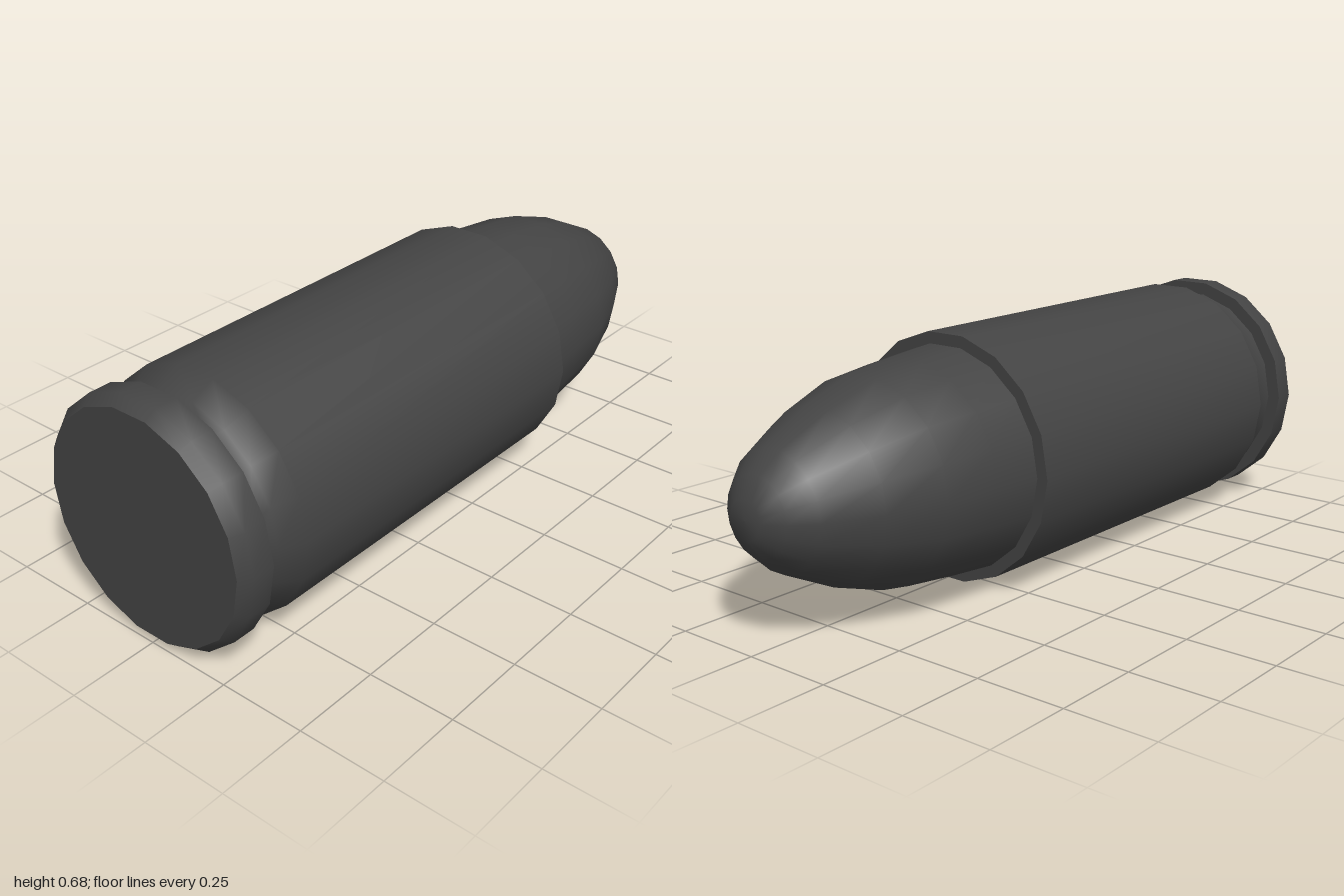
import * as THREE from 'three';

const SIDES = 18;
const AXIS_HEIGHT = 0.3415;

export function createModel() {
  const model = new THREE.Group();
  model.name = 'cartridge';
  const material = new THREE.MeshStandardMaterial({ color: 0x444444 });

  // Turns a profile of [x, radius] points around the long axis; each call is one smooth section
  function turned(name, profile, parent) {
    const points = profile.map(([x, r]) => new THREE.Vector2(r, x));
    const geometry = new THREE.LatheGeometry(points, SIDES);
    geometry.rotateZ(-Math.PI / 2);
    const mesh = new THREE.Mesh(geometry, material);
    mesh.name = name;
    parent.add(mesh);
  }

  // Casing: flat base, bevelled rim, extractor groove, body and mouth
  const casing = new THREE.Group();
  casing.name = 'casing';
  turned('base', [[-1, 0], [-1, 0.322]], casing);
  turned('rim', [[-1, 0.322], [-0.97, 0.347], [-0.905, 0.347]], casing);
  turned('rimShoulder', [[-0.905, 0.347], [-0.905, 0.309]], casing);
  turned('body', [[-0.905, 0.309], [-0.852, 0.309], [-0.79, 0.347], [0.295, 0.347]], casing);
  turned('mouth', [[0.295, 0.347], [0.295, 0.314]], casing);

  // Rounded projectile with a small blunt tip
  const projectile = new THREE.Group();
  projectile.name = 'projectile';
  turned('nose', [
    [0.295, 0.314], [0.44, 0.301], [0.6, 0.283], [0.76, 0.23],
    [0.905, 0.158], [0.963, 0.106], [0.998, 0.052], [1, 0],
  ], projectile);

  model.add(casing, projectile);
  model.position.y = AXIS_HEIGHT;
  return model;
}
